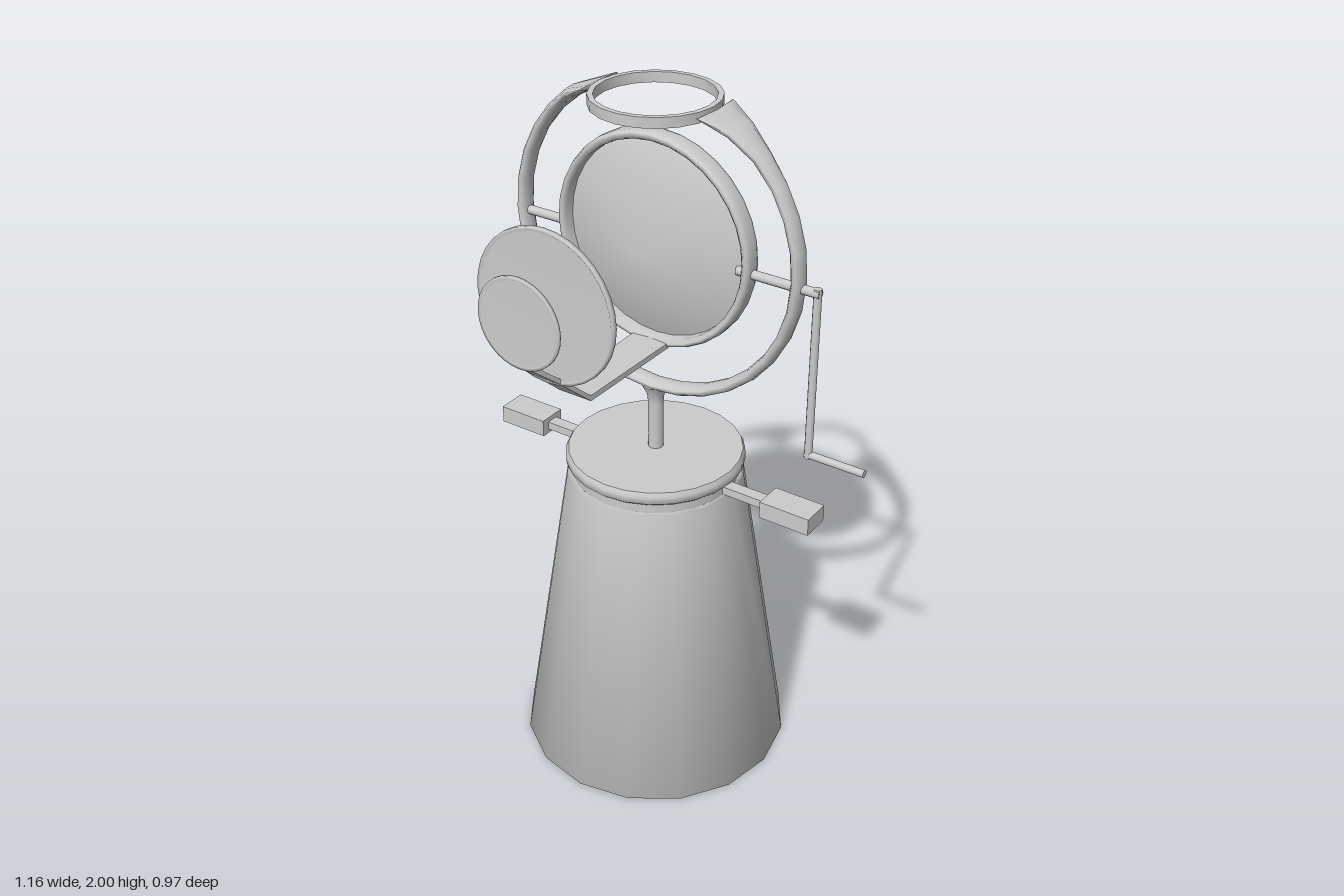
import * as THREE from 'three';
import { toCreasedNormals } from 'three/addons/utils/BufferGeometryUtils.js';

const material = new THREE.MeshStandardMaterial({ color: 0xcccccc });
const thin = new THREE.MeshStandardMaterial({ color: 0xcccccc, side: THREE.DoubleSide });

const CENTRE_Y = 1.608; // height of the ring and dish centre

export function createModel() {
  const group = new THREE.Group();
  const stand = new THREE.Group();
  stand.name = 'stand';
  stand.position.set(-0.07, 0, -0.085);
  group.add(stand);

  function add(name, geometry, x = 0, y = 0, z = 0, mat = material) {
    const mesh = new THREE.Mesh(geometry, mat);
    mesh.name = name;
    mesh.position.set(x, y, z);
    stand.add(mesh);
    return mesh;
  }
  const lathe = (points, sides) =>
    new THREE.LatheGeometry(points.map(([r, y]) => new THREE.Vector2(r, y)), sides);
  const rodX = (r, length) => new THREE.CylinderGeometry(r, r, length, 10).rotateZ(Math.PI / 2);

  // Tapered base with a softly shaded lower rim
  add('base', lathe([[0, 0], [0.395, 0], [0.252, 0.91], [0.236, 0.91]], 16));

  // Neck and top plate
  add('neck', new THREE.CylinderGeometry(0.237, 0.237, 0.06, 24), 0, 0.925, 0);
  add('topPlate', toCreasedNormals(lathe(
    [[0, 0.94], [0.243, 0.94], [0.252, 0.948], [0.252, 0.968], [0.245, 0.98], [0, 0.98]], 24), 0.9));

  // Side grips
  for (const s of [-1, 1]) {
    add('gripBar', new THREE.BoxGeometry(0.17, 0.024, 0.036), s * 0.29, 0.924, 0);
    add('grip', new THREE.BoxGeometry(0.15, 0.05, 0.085), s * 0.442, 0.925, 0);
  }

  // Post, flaring where it meets the ring
  add('post', lathe([[0.022, 0.97], [0.022, 1.12], [0.025, 1.15], [0.04, 1.18]], 10));

  // Open ring: flattened oval section, widening at both ends to meet the carrying loop
  add('ringFrame', ringGeometry(), 0, 0, 0, thin);

  // Carrying loop on top
  add('carryLoop', toCreasedNormals(lathe(
    [[0.155, 1.972], [0.17, 1.972], [0.17, 2], [0.155, 2], [0.155, 1.972]], 20), 0.6));

  // Round dish with a shallow cone in front and a raised rim
  const dish = lathe([[0, -0.016], [0.285, -0.016], [0.285, -0.012], [0, 0.097]], 32);
  add('dish', toCreasedNormals(dish, 1.0).rotateX(Math.PI / 2), 0, CENTRE_Y, 0);
  const rim = lathe([[0.274, -0.02], [0.284, -0.03], [0.293, -0.028], [0.298, -0.015], [0.298, 0.015],
    [0.293, 0.028], [0.284, 0.03], [0.274, 0.02], [0.274, -0.02]], 32);
  add('dishRim', rim.rotateX(Math.PI / 2), 0, CENTRE_Y, 0);

  // Axles and crank
  add('leftAxle', rodX(0.013, 0.24), 0.37, 1.588, 0);
  add('rightAxle', rodX(0.013, 0.14), -0.355, 1.588, 0);
  add('crankArm', new THREE.CylinderGeometry(0.011, 0.011, 0.49, 10), 0.482, 1.356, 0);
  add('crankHandle', rodX(0.011, 0.175), 0.56, 1.121, 0);

  // Bent, tapering bracket in front: rows of [half width, y, z]
  add('bracket', bracketGeometry([
    [0.055, 1.322, 0.02], [0.05, 1.322, 0.36], [0.042, 1.415, 0.465], [0.02, 1.5, 0.567]]));

  // Two thin sighting discs
  for (const [name, r, z, t] of [['largeDisc', 0.205, 0.464, 0.006], ['smallDisc', 0.121, 0.566, 0.004]]) {
    const disc = lathe([[0, -t * 0.5], [r - 0.012, -t * 0.5], [r - 0.008, -t], [r, -t], [r, t],
      [r - 0.008, t], [r - 0.012, t * 0.5], [0, t * 0.5]], 32);
    add(name, disc.rotateX(Math.PI / 2), 0, CENTRE_Y, z);
  }
  return group;
}

// Joins loops of points (equal length, closed) into a capped skin
function skin(loops) {
  const n = loops[0].length;
  const index = [];
  for (let i = 0; i < loops.length - 1; i++) {
    for (let j = 0; j < n; j++) {
      const a = i * n + j, b = i * n + (j + 1) % n;
      index.push(a, b, a + n, b, b + n, a + n);
    }
  }
  const last = (loops.length - 1) * n;
  for (let j = 1; j < n - 1; j++) index.push(0, j + 1, j, last, last + j, last + j + 1);
  const geometry = new THREE.BufferGeometry();
  geometry.setAttribute('position', new THREE.Float32BufferAttribute(loops.flat(2), 3));
  geometry.setIndex(index);
  geometry.computeVertexNormals();
  return geometry;
}

function ringGeometry() {
  const loops = [], steps = 28, sides = 10;
  const start = THREE.MathUtils.degToRad(114), sweep = THREE.MathUtils.degToRad(312);
  for (let i = 0; i <= steps; i++) {
    const a = start + sweep * i / steps;
    const toEnd = Math.min(i, steps - i);
    const halfZ = [0.085, 0.055, 0.036][toEnd] ?? 0.03;
    const loop = [];
    for (let j = 0; j < sides; j++) {
      const b = -j / sides * Math.PI * 2;
      const r = 0.428 + 0.016 * Math.cos(b);
      loop.push([r * Math.cos(a), Math.min(CENTRE_Y + r * Math.sin(a), 1.995), halfZ * Math.sin(b)]);
    }
    loops.push(loop);
  }
  return skin(loops);
}

function bracketGeometry(rows) {
  const t = 0.008;
  return toCreasedNormals(skin(rows.map(([w, y, z]) =>
    [[-w, y - t, z], [w, y - t, z], [w, y + t, z], [-w, y + t, z]])), 0.5);
}
